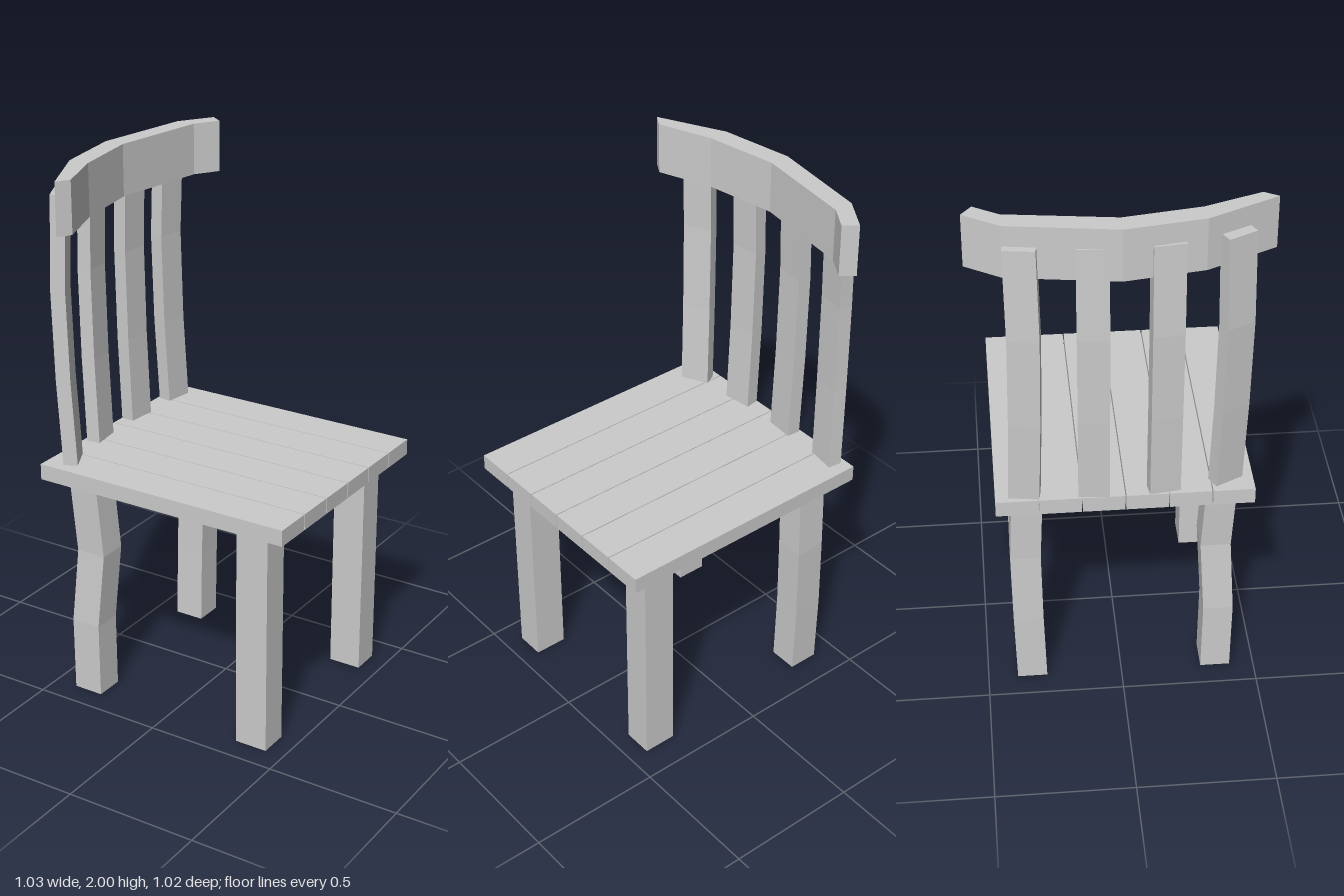
import * as THREE from 'three';

const material = new THREE.MeshStandardMaterial({ color: 0xcccccc, flatShading: true });

function addMesh(parent, name, geometry) {
  const mesh = new THREE.Mesh(geometry, material);
  mesh.name = name;
  parent.add(mesh);
  return mesh;
}

// Hand-hewn bar: rings evenly spaced from y0 to y1, each shifted by [dx, dz]
function bentBar(width, depth, y0, y1, shifts, x, z, yaw = 0) {
  const n = shifts.length - 1;
  const geo = new THREE.BoxGeometry(width, y1 - y0, depth, 1, n, 1);
  geo.rotateY(yaw);
  geo.translate(x, (y0 + y1) / 2, z);
  const p = geo.attributes.position;
  for (let i = 0; i < p.count; i++) {
    const [dx, dz] = shifts[Math.round(((p.getY(i) - y0) / (y1 - y0)) * n)];
    p.setX(i, p.getX(i) + dx);
    p.setZ(i, p.getZ(i) + dz);
  }
  geo.computeVertexNormals();
  return geo;
}

export function createModel() {
  const chair = new THREE.Group();
  chair.name = 'chair';

  // Seat: six planks running front to back with hairline gaps
  const seat = new THREE.Group();
  seat.name = 'seat';
  chair.add(seat);
  const pitch = 0.1515, gap = 0.004;
  for (let i = 0; i < 6; i++) {
    const plank = addMesh(seat, 'seatPlank', new THREE.BoxGeometry(1.012, 0.06, pitch - gap));
    plank.position.set(0.007, 0.888, -0.449 + pitch * (i + 0.5));
  }

  // Legs: straight under the free edge, crooked under the backrest
  const straight = [[0, 0], [0, 0]];
  const crooked = [[0, 0], [0, 0.003], [0.022, -0.012], [0.003, 0]];
  const slight = [[0, 0], [0, -0.008], [0.006, -0.012], [0, 0]];
  [
    ['frontLeg', 0.125, 0.365, 0.355, straight],
    ['frontLeg', 0.125, 0.365, -0.335, straight],
    ['backLeg', 0.115, -0.353, 0.355, crooked],
    ['backLeg', 0.115, -0.353, -0.335, slight],
  ].forEach(([name, w, x, z, shifts]) =>
    addMesh(chair, name, bentBar(w, 0.11, 0, 0.865, shifts, x, z)));

  // Back slats: turned to follow the rail, bowing slightly
  const bow = [[0.01, -0.01], [-0.004, 0], [-0.01, 0.005], [0, 0]];
  [
    [-0.435, 0.37, 0.47],
    [-0.473, 0.14, 0.13],
    [-0.478, -0.103, -0.08],
    [-0.468, -0.335, -0.14],
  ].forEach(([x, z, yaw], i) => {
    const shifts = bow.map(([dx, dz]) => [dx, i % 3 ? 0 : dz]);
    addMesh(chair, 'backSlat', bentBar(0.052, 0.109, 0.9, 1.925, shifts, x, z, yaw));
  });

  // Top rail: faceted arc seen from above, extruded upward
  const outline = [
    [-0.38, -0.515], [-0.46, -0.39], [-0.515, -0.01], [-0.47, 0.265], [-0.35, 0.51],
    [-0.32, 0.46], [-0.395, 0.26], [-0.44, -0.01], [-0.388, -0.39], [-0.332, -0.478],
  ];
  const shape = new THREE.Shape(outline.map(([x, z]) => new THREE.Vector2(x, -z)));
  const railGeo = new THREE.ExtrudeGeometry(shape, { depth: 0.192, bevelEnabled: false });
  railGeo.rotateX(-Math.PI / 2);
  addMesh(chair, 'topRail', railGeo).position.y = 1.808;

  return chair;
}
